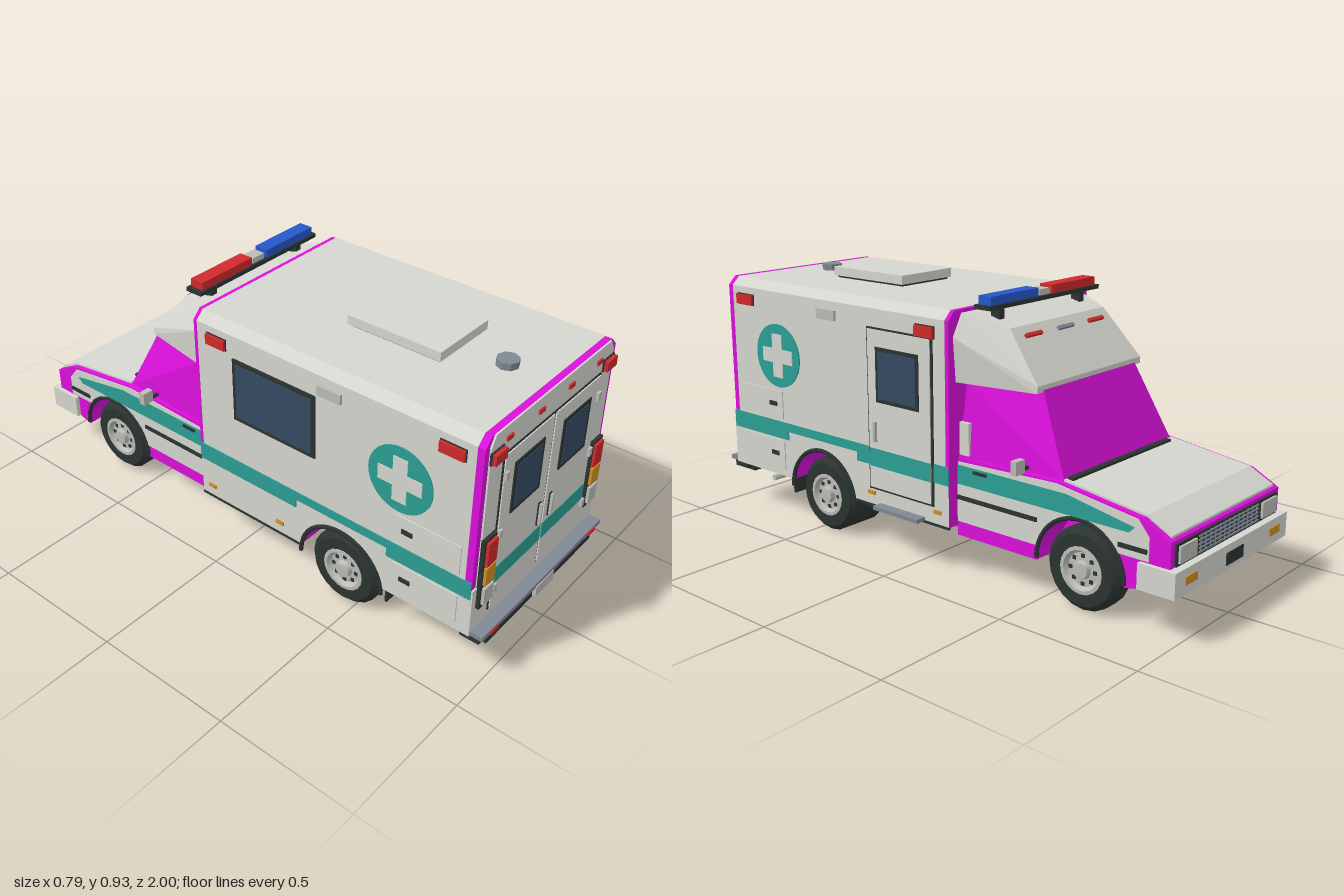
import * as THREE from 'three';
import { toCreasedNormals } from 'three/addons/utils/BufferGeometryUtils.js';
import { ConvexGeometry } from 'three/addons/geometries/ConvexGeometry.js';

const mat = (name, color) => Object.assign(new THREE.MeshStandardMaterial({ color }), { name });
const M = {
  white: mat('body white', 0xd6d6d0), magenta: mat('magenta', 0xdc10dc), teal: mat('teal', 0x2c9f95),
  dark: mat('dark rubber', 0x2b3432), glass: mat('window glass', 0x354a62), red: mat('red lamp', 0xd02a2c),
  blue: mat('blue lamp', 0x2657cc), amber: mat('amber lamp', 0xd08f26), steel: mat('steel', 0x808894),
  chrome: mat('chrome', 0xbcbcb6),
};
const ARCH_Y = 0.14, ARCH_R = 0.165, REAR_Z = 0.455, FRONT_Z = -0.652;

export function createModel() {
  const root = new THREE.Group();
  root.name = 'ambulance';
  const car = new THREE.Group();
  car.name = 'vehicle';
  car.position.x = -0.017;
  root.add(car);

  const add = (name, m, geo, x = 0, y = 0, z = 0) => {
    const mesh = new THREE.Mesh(geo, m);
    mesh.name = name;
    mesh.position.set(x, y, z);
    car.add(mesh);
    return mesh;
  };
  // box given by its limits
  const box = (name, m, x0, x1, y0, y1, z0, z1) => add(name, m,
    new THREE.BoxGeometry(Math.abs(x1 - x0), y1 - y0, z1 - z0), (x0 + x1) / 2, (y0 + y1) / 2, (z0 + z1) / 2);
  // the same box on both sides
  const pair = (name, m, x0, x1, ...r) => [1, -1].forEach(s => box(name, m, s * x0, s * x1, ...r));
  const toShape = p => new THREE.Shape(p.map(([a, b]) => new THREE.Vector2(a, b)));
  // profile of [z, y] points, extruded across x
  const across = (name, m, pts, w, x = 0) => {
    const g = new THREE.ExtrudeGeometry(toShape(pts), { depth: w, bevelEnabled: false });
    return add(name, m, g.translate(0, 0, -w / 2).rotateY(-Math.PI / 2), x);
  };
  // outline of [x, y] points, extruded from z0 to z1
  const along = (name, m, pts, z0, z1) => add(name, m,
    new THREE.ExtrudeGeometry(toShape(pts), { depth: z1 - z0, bevelEnabled: false }), 0, 0, z0);
  const mirrored = pts => [...pts, ...pts.map(([x, y]) => [-x, y]).reverse()];
  const hull = (name, m, pts) => add(name, m, new ConvexGeometry(
    pts.flatMap(([x, y, z]) => [new THREE.Vector3(x, y, z), new THREE.Vector3(-x, y, z)])));
  // wheel opening from +z to -z, starting at height yb
  const arch = (zc, yb) => {
    const a0 = Math.asin((yb - ARCH_Y) / ARCH_R);
    return Array.from({ length: 17 }, (_, i) => {
      const a = a0 + (Math.PI - 2 * a0) * i / 16;
      return [zc + ARCH_R * Math.cos(a), ARCH_Y + ARCH_R * Math.sin(a)];
    });
  };

  // ---- rear body: chamfered shell with end frames, and a lower skirt with wheel openings
  const outline = (w, h) => mirrored([[w, 0.31], [w, h - 0.03], [w - 0.03, h]]);
  along('bodyShell', M.white, outline(0.368, 0.885), -0.145, 0.92);
  along('rearFrame', M.magenta, outline(0.367, 0.884), 0.92, 0.944);
  along('frontFrame', M.magenta, outline(0.367, 0.884), -0.16, -0.145);
  across('bodySkirt', [M.white, M.magenta],
    [[0.944, 0.165], [0.944, 0.31], [-0.158, 0.31], [-0.158, 0.165], ...arch(REAR_Z, 0.165).reverse()], 0.736);
  box('wheelWellCore', M.magenta, -0.16, 0.16, 0.165, 0.31, 0.28, 0.63);
  along('rearPanel', M.white, mirrored([[0.368, 0.165], [0.368, 0.345], [0.345, 0.345], [0.345, 0.85], [0.325, 0.885]]), 0.944, 0.95);

  // ---- rear doors
  box('doorSurround', M.dark, -0.277, 0.277, 0.21, 0.795, 0.948, 0.953);
  for (const s of [1, -1]) {
    box('rearDoor', M.white, s * 0.005, s * 0.27, 0.216, 0.789, 0.948, 0.957);
    box('rearDoorStripe', M.teal, s * 0.005, s * 0.264, 0.313, 0.374, 0.955, 0.959);
    box('rearWindowFrame', M.dark, s * 0.055, s * 0.218, 0.552, 0.736, 0.955, 0.961);
    box('rearWindow', M.glass, s * 0.069, s * 0.204, 0.566, 0.722, 0.96, 0.963);
    box('rearDoorHandle', M.dark, s * 0.026, s * 0.04, 0.393, 0.48, 0.955, 0.961);
    box('rearDoorHandleBar', M.chrome, s * 0.029, s * 0.037, 0.397, 0.476, 0.955, 0.97);
    for (const y of [0.717, 0.505, 0.298]) box('hinge', M.chrome, s * 0.257, s * 0.273, y - 0.015, y + 0.015, 0.955, 0.966);
    // lamp clusters
    box('tailLampHousing', M.dark, s * 0.283, s * 0.346, 0.266, 0.527, 0.948, 0.962);
    [[M.red, 0.431, 0.517], [M.amber, 0.357, 0.424], [M.chrome, 0.283, 0.345]].forEach(([m, a, b]) =>
      box('tailLamp', m, s * 0.289, s * 0.338, a, b, 0.955, 0.972));
    box('upperLampRim', M.dark, s * 0.282, s * 0.347, 0.793, 0.834, 0.948, 0.955);
    box('upperLamp', M.red, s * 0.285, s * 0.344, 0.796, 0.831, 0.95, 0.968);
    for (const x of [0.085, 0.255]) box('rearMarker', M.red, s * x - 0.015, s * x + 0.015, 0.835, 0.85, 0.948, 0.956);
  }

  // ---- rear bumper
  box('rearStep', M.steel, -0.362, 0.362, 0.165, 0.182, 0.944, 0.995);
  box('rearBumper', M.dark, -0.32, 0.32, 0.122, 0.165, 0.91, 0.985);
  pair('bumperEnd', M.dark, 0.3, 0.355, 0.14, 0.165, 0.91, 0.98);
  pair('bumperReflector', M.red, 0.28, 0.318, 0.166, 0.18, 0.99, 1.0);
  box('plateHolder', M.chrome, -0.054, 0.054, 0.13, 0.17, 0.98, 0.998);

  // ---- both body sides
  const cross = [[0.026, 0.08], [0.026, 0.026], [0.08, 0.026], [0.08, -0.026], [0.026, -0.026], [0.026, -0.08]];
  for (const s of [1, -1]) {
    const X = s * 0.368, out = d => s * (0.368 + d);
    across('sideStripe', M.teal, [[0.944, 0.31], [0.944, 0.374], [-0.158, 0.374], [-0.158, 0.31], [0.27, 0.31],
      [0.27, 0.342], [0.635, 0.342], [0.635, 0.31]], 0.006, X);
    const disc = add('emblemDisc', M.teal, new THREE.CylinderGeometry(0.117, 0.117, 0.008, 32), X, 0.622, 0.674);
    disc.rotation.z = Math.PI / 2;
    across('emblemCross', M.white, mirrored(cross).map(([z, y]) => [z + 0.674, y + 0.622]), 0.014, X);
    for (const [a, b] of [[0.802, 0.888], [-0.1, -0.02]]) {
      box('sideMarkerRim', M.dark, X, out(0.004), 0.789, 0.831, a - 0.002, b + 0.002);
      box('sideMarker', M.red, X, out(0.012), 0.792, 0.828, a, b);
    }
    for (const z of [0.2, -0.11]) box('lowerMarker', M.amber, X, out(0.006), 0.203, 0.216, z - 0.016, z + 0.016);
    box('floodlight', M.chrome, X, out(0.01), 0.79, 0.825, 0.36, 0.45);
    box('lockerDoor', M.white, X, out(0.004), 0.385, 0.49, 0.66, 0.9);
    box('lowerLockerDoor', M.white, X, out(0.004), 0.19, 0.302, 0.66, 0.9);
    for (const y of [0.44, 0.25]) box('lockerLatch', M.dark, X, out(0.008), y - 0.008, y + 0.008, 0.69, 0.73);
    box('skirtTrim', M.dark, s * 0.36, out(0.002), 0.158, 0.167, -0.158, 0.29);
    box('mudflap', M.dark, s * 0.2, s * 0.355, 0.105, 0.165, 0.628, 0.636);
  }
  // side entry door with its step
  box('entryDoorGap', M.dark, 0.366, 0.372, 0.225, 0.793, -0.094, 0.207);
  box('entryDoor', M.white, 0.366, 0.376, 0.233, 0.787, -0.085, 0.2);
  box('entryDoorStripe', M.teal, 0.37, 0.378, 0.31, 0.374, -0.085, 0.2);
  box('entryWindowFrame', M.dark, 0.37, 0.379, 0.54, 0.73, -0.037, 0.16);
  box('entryWindow', M.glass, 0.37, 0.381, 0.553, 0.717, -0.024, 0.147);
  box('entryHandle', M.chrome, 0.37, 0.388, 0.4, 0.47, 0.162, 0.172);
  box('entryStep', M.steel, 0.33, 0.407, 0.165, 0.178, -0.05, 0.16);
  // window on the other side
  box('sideWindowFrame', M.dark, -0.366, -0.374, 0.545, 0.775, 0.01, 0.35);
  box('sideWindow', M.glass, -0.37, -0.377, 0.56, 0.76, 0.025, 0.335);

  // ---- roof fittings
  box('roofHatchBase', M.dark, -0.117, 0.117, 0.88, 0.897, 0.287, 0.617);
  box('roofHatch', M.white, -0.127, 0.127, 0.893, 0.925, 0.277, 0.627);
  add('roofVent', M.steel, toCreasedNormals(new THREE.CylinderGeometry(0.037, 0.037, 0.025, 8), 0.4), 0, 0.896, 0.78);

  // ---- cab lower body, with nose
  across('cabBody', M.magenta, [[-0.155, 0.13], [-0.155, 0.4], [-0.56, 0.405], [-0.877, 0.362], [-0.972, 0.312],
    [-0.972, 0.2], [-0.86, 0.14], ...arch(FRONT_Z, 0.13).reverse()], 0.644);
  box('frontWellCore', M.magenta, -0.2, 0.2, 0.13, 0.32, -0.83, -0.48);
  across('hood', M.white, [[-0.575, 0.39], [-0.575, 0.41], [-0.877, 0.369], [-0.962, 0.325], [-0.962, 0.3], [-0.877, 0.34]], 0.605);
  for (const s of [1, -1]) {
    const X = s * 0.322;
    across('cabSidePanel', M.white, [[-0.158, 0.18], [-0.158, 0.385], [-0.56, 0.4], [-0.86, 0.358], [-0.9, 0.31],
      [-0.9, 0.235], ...arch(FRONT_Z, 0.235).reverse().slice(0, 16), [-0.492, 0.18]], 0.006, X);
    across('cabStripe', M.teal, [[-0.158, 0.31], [-0.158, 0.375], [-0.6, 0.375], [-0.85, 0.33], [-0.83, 0.31]], 0.01, X);
    box('rubStrip', M.dark, X, s * 0.33, 0.258, 0.272, -0.49, -0.158);
    box('rubStrip', M.dark, X, s * 0.33, 0.258, 0.272, -0.895, -0.795);
    box('cabDoorHandle', M.dark, X, s * 0.332, 0.358, 0.368, -0.285, -0.23);
    box('mirrorArm', M.dark, s * 0.3, s * 0.345, 0.415, 0.424, -0.44, -0.428);
    box('mirror', M.chrome, s * 0.335, s * 0.378, 0.41, 0.455, -0.448, -0.425);
    box('quarterTrim', M.white, s * 0.3, s * 0.322, 0.41, 0.52, -0.205, -0.165);
  }
  // windows and tapered roof fairing
  hull('cabGlazing', M.magenta, [[0.318, 0.395, -0.16], [0.3, 0.4, -0.575], [0.3, 0.66, -0.18], [0.25, 0.66, -0.45]]);
  hull('cabRoof', M.white, [[0.333, 0.652, -0.16], [0.283, 0.652, -0.45], [0.28, 0.675, -0.452],
    [0.25, 0.834, -0.315], [0.305, 0.873, -0.16], [0.345, 0.8, -0.16]]);
  box('wiperTray', M.dark, -0.26, 0.29, 0.402, 0.415, -0.6, -0.578);
  for (const x of [-0.167, 0, 0.167]) {
    const lamp = box('cabRoofMarker', x ? M.red : M.steel, x - 0.04, x + 0.04, -0.006, 0.006, -0.008, 0.008);
    lamp.position.set(x, 0.806, -0.342);
    lamp.rotation.x = 0.86;
  }
  // light bar
  box('lightBarBase', M.dark, -0.29, 0.29, 0.888, 0.902, -0.266, -0.2);
  pair('lightBarLeg', M.dark, 0.2, 0.225, 0.84, 0.89, -0.25, -0.215);
  box('redBeacon', M.red, -0.275, -0.037, 0.9, 0.93, -0.258, -0.206);
  box('blueBeacon', M.blue, 0.037, 0.275, 0.9, 0.93, -0.258, -0.206);
  box('lightBarCentre', M.chrome, -0.028, 0.028, 0.9, 0.922, -0.255, -0.21);

  // ---- grille, headlamps and front bumper
  box('grillePanel', M.dark, -0.3, 0.3, 0.232, 0.302, -0.978, -0.965);
  for (let i = 0; i < 5; i++) box('grilleBar', M.steel, -0.18, 0.18, 0.239 + i * 0.013, 0.244 + i * 0.013, -0.982, -0.97);
  for (let i = -6; i <= 6; i++) box('grilleSlat', M.steel, i * 0.028 - 0.002, i * 0.028 + 0.002, 0.237, 0.298, -0.981, -0.97);
  pair('headlamp', M.chrome, 0.198, 0.29, 0.241, 0.294, -0.986, -0.97);
  box('frontBumper', M.white, -0.338, 0.338, 0.147, 0.23, -1.0, -0.87);
  box('bumperLip', M.dark, -0.3, 0.3, 0.135, 0.15, -0.985, -0.88);
  box('frontPlate', M.dark, -0.05, 0.05, 0.165, 0.205, -1.004, -0.995);
  pair('turnSignal', M.amber, 0.22, 0.285, 0.178, 0.205, -1.004, -0.995);

  // ---- wheels: lathed tyre, dished rim and hub
  const lathe = (p, n = 20) => toCreasedNormals(new THREE.LatheGeometry(p.map(([a, b]) => new THREE.Vector2(a, b)), n), 0.6);
  const wheel = (s, xOut, w, z) => {
    const place = (name, m, geo, x) => {
      add(name, m, geo, s * x, 0.136, z).rotation.z = -s * Math.PI / 2;
    };
    const h = w / 2;
    place('tyre', M.dark, lathe([[0.06, -h], [0.118, -h], [0.136, -h + 0.018], [0.136, h - 0.018], [0.118, h], [0.078, h], [0.07, h - 0.015], [0, h - 0.015]]), xOut - h);
    place('rim', M.chrome, lathe([[0.078, -0.03], [0.078, 0.002], [0.066, 0.003], [0.056, -0.012], [0.03, -0.01], [0.026, 0.006], [0, 0.008]]), xOut);
    for (let i = 0; i < 8; i++) {
      const a = i * Math.PI / 4;
      box('rimSlot', M.dark, s * (xOut - 0.016), s * (xOut - 0.007), -0.006, 0.006, -0.006, 0.006)
        .position.set(s * (xOut - 0.012), 0.136 + 0.046 * Math.sin(a), z + 0.046 * Math.cos(a));
    }
  };
  for (const s of [1, -1]) {
    wheel(s, 0.352, 0.084, REAR_Z);
    wheel(s, 0.262, 0.084, REAR_Z);
    wheel(s, 0.312, 0.09, FRONT_Z);
    for (const [z, x] of [[REAR_Z, 0.368], [FRONT_Z, 0.323]]) {
      add('archLip', M.dark, new THREE.TorusGeometry(ARCH_R, 0.008, 6, 20, Math.PI), s * x, ARCH_Y, z).rotation.y = Math.PI / 2;
    }
  }

  // ---- chassis
  box('cabUnderTray', M.dark, -0.21, 0.21, 0.122, 0.135, -0.93, -0.16);
  box('cabRearTray', M.dark, -0.31, 0.31, 0.124, 0.135, -0.475, -0.16);
  pair('frameRail', M.dark, 0.1, 0.135, 0.125, 0.17, -0.2, 0.92);
  for (const z of [REAR_Z, FRONT_Z]) {
    add('axle', M.dark, new THREE.CylinderGeometry(0.022, 0.022, 0.5, 10), 0, 0.136, z).rotation.z = Math.PI / 2;
  }
  add('differential', M.dark, new THREE.SphereGeometry(0.05, 10, 8), 0, 0.13, REAR_Z);
  add('driveShaft', M.dark, new THREE.CylinderGeometry(0.014, 0.014, 0.6, 8), 0, 0.14, 0.14).rotation.x = Math.PI / 2;
  add('exhaustPipe', M.chrome, new THREE.CylinderGeometry(0.011, 0.011, 0.2, 10), 0.278, 0.15, 0.72).rotation.z = Math.PI / 2;
  return root;
}
